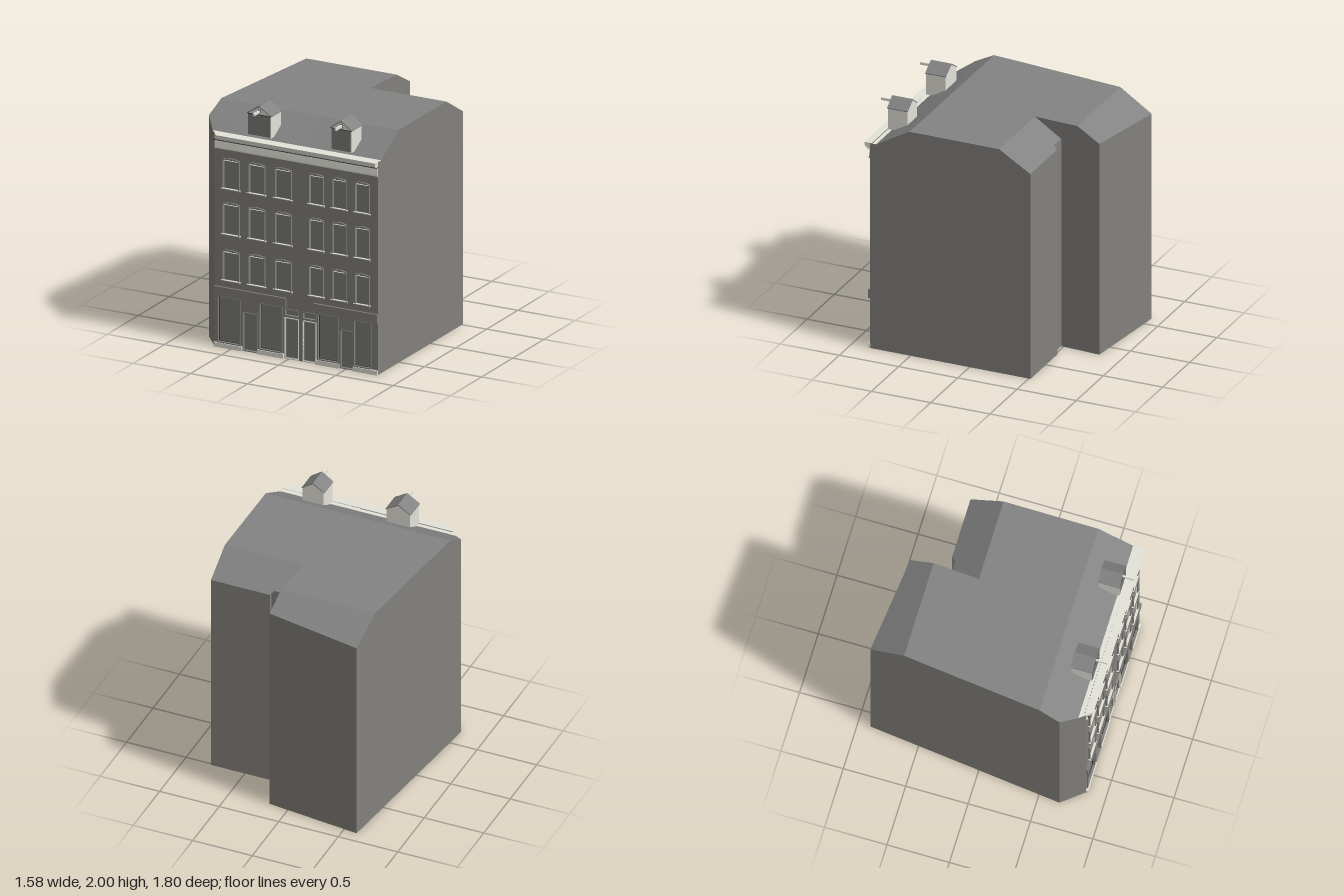
import * as THREE from 'three';

const mat = (name, color, side = THREE.FrontSide) => {
  const m = new THREE.MeshStandardMaterial({ color, side });
  m.name = name;
  return m;
};

export function createModel() {
  const root = new THREE.Group();
  root.name = 'cornerTownhouse';
  const wall = mat('wallGrey', 0x83817d);
  const roof = mat('roofGrey', 0x838383);
  const glass = mat('paneGrey', 0x7d7c79);
  const white = mat('trimWhite', 0xe4e3da);
  const dark = mat('openingDark', 0x3c3c3b);

  const add = (name, geo, m, parent = root) => {
    const mesh = new THREE.Mesh(geo, m);
    mesh.name = name;
    parent.add(mesh);
    return mesh;
  };
  // Box given by its limits
  const box = (name, m, x0, x1, y0, y1, z0, z1, parent = root) => {
    const b = add(name, new THREE.BoxGeometry(x1 - x0, y1 - y0, z1 - z0), m, parent);
    b.position.set((x0 + x1) / 2, (y0 + y1) / 2, (z0 + z1) / 2);
    return b;
  };
  // Flat polygon, fanned from its first corner
  const face = (name, m, ...pts) => {
    const v = [];
    for (let i = 1; i < pts.length - 1; i++) v.push(...pts[0], ...pts[i], ...pts[i + 1]);
    const g = new THREE.BufferGeometry();
    g.setAttribute('position', new THREE.Float32BufferAttribute(v, 3));
    g.computeVertexNormals();
    return add(name, g, m);
  };
  const extrude = (shape, depth) =>
    new THREE.ExtrudeGeometry(shape, { depth, bevelEnabled: false, curveSegments: 6 });
  // Opening outline with an optional shallow arched head
  const outline = (Type, x0, x1, y0, y1, rise = 0) => {
    const s = new Type();
    s.moveTo(x0, y0);
    s.lineTo(x1, y0);
    s.lineTo(x1, y1 - rise);
    if (rise) s.quadraticCurveTo((x0 + x1) / 2, y1 + rise, x0, y1 - rise);
    else s.lineTo(x0, y1);
    s.closePath();
    return s;
  };
  // Ring-shaped frame of width w around an opening
  const frame = (name, m, [x0, x1, y0, y1, rise], w, z0, z1) => {
    const s = outline(THREE.Shape, x0 - w, x1 + w, y0 - w, y1 + w, rise);
    s.holes.push(outline(THREE.Path, x0, x1, y0, y1, rise));
    add(name, extrude(s, z1 - z0), m).position.z = z0;
  };

  // Side and rear walls
  face('rightWall', wall, [0.78, 0, 0.84], [0.785, 0, -0.515], [0.785, 1.73, -0.515],
    [0.785, 1.89, -0.25], [0.78, 1.89, 0.51], [0.78, 1.73, 0.79], [0.78, 1.73, 0.84]);
  face('leftWall', wall, [-0.61, 0, -0.9], [-0.79, 0, 0.67], [-0.79, 1.8, 0.67],
    [-0.771, 1.89, 0.505], [-0.642, 1.89, -0.62], [-0.61, 1.73, -0.9]);
  face('chamferWall', wall, [-0.79, 0, 0.67], [-0.65, 0, 0.84], [-0.65, 1.73, 0.84],
    [-0.691, 1.73, 0.79], [-0.79, 1.8, 0.67]);
  face('rearWingBack', wall, [0.16, 0, -0.81], [-0.61, 0, -0.9], [-0.61, 1.73, -0.9], [0.16, 1.78, -0.81]);
  face('rearWingSide', wall, [0.125, 0, -0.25], [0.16, 0, -0.81], [0.16, 1.78, -0.81],
    [0.148, 1.89, -0.62], [0.125, 1.89, -0.25]);
  face('notchBack', wall, [0.29, 0, -0.48], [0.139, 0, -0.48], [0.139, 1.751, -0.48], [0.29, 1.751, -0.48]);
  face('notchSide', wall, [0.29, 0, -0.515], [0.29, 0, -0.48], [0.29, 1.751, -0.48], [0.29, 1.73, -0.515]);
  face('backWall', wall, [0.785, 0, -0.515], [0.29, 0, -0.515], [0.29, 1.73, -0.515], [0.785, 1.73, -0.515]);
  face('baseLeft', wall, [-0.79, 0, 0.67], [-0.61, 0, -0.9], [0.16, 0, -0.81], [0.125, 0, -0.25],
    [0.11, 0, 0.84], [-0.65, 0, 0.84]);
  face('baseRight', wall, [0.11, 0, 0.84], [0.139, 0, -0.48], [0.29, 0, -0.48], [0.29, 0, -0.515],
    [0.785, 0, -0.515], [0.78, 0, 0.84]);

  // Roof planes
  face('flatRoofLeft', roof, [-0.771, 1.89, 0.505], [0.11, 1.89, 0.505], [0.125, 1.89, -0.25],
    [0.148, 1.89, -0.62], [-0.642, 1.89, -0.62]);
  face('flatRoofRight', roof, [0.11, 1.89, 0.505], [0.78, 1.89, 0.51], [0.785, 1.89, -0.25], [0.125, 1.89, -0.25]);
  face('backSlopeRight', roof, [0.125, 1.89, -0.25], [0.785, 1.89, -0.25], [0.785, 1.73, -0.515],
    [0.29, 1.73, -0.515], [0.29, 1.751, -0.48], [0.139, 1.751, -0.48]);
  face('backSlopeLeft', roof, [-0.642, 1.89, -0.62], [0.148, 1.89, -0.62], [0.16, 1.78, -0.81], [-0.61, 1.73, -0.9]);
  face('frontSlopeRight', roof, [0.11, 1.73, 0.79], [0.78, 1.73, 0.79], [0.78, 1.89, 0.51], [0.11, 1.89, 0.505]);
  face('frontSlopeUpperLeft', roof, [-0.79, 1.8, 0.67], [0.11, 1.89, 0.505], [-0.771, 1.89, 0.505]);
  face('frontSlopeLowerLeft', roof, [-0.79, 1.8, 0.67], [-0.691, 1.73, 0.79], [0.11, 1.73, 0.79], [0.11, 1.89, 0.505]);
  face('eavesLedge', white, [-0.691, 1.73, 0.79], [-0.65, 1.73, 0.84], [0.78, 1.73, 0.84], [0.78, 1.73, 0.79]);

  // Upper windows, shopfronts and doors: x0, x1, y0, y1, arch rise
  const columns = [[-0.57, -0.435], [-0.345, -0.21], [-0.115, 0.02], [0.185, 0.3], [0.388, 0.503], [0.587, 0.702]];
  const rows = [[0.55, 0.795], [0.925, 1.18], [1.295, 1.54]];
  const windows = rows.flatMap(([y0, y1]) => columns.map(([a, b]) => [a, b, y0, y1, 0.012]));
  const shops = [[-0.615, -0.43], [-0.25, -0.065], [0.26, 0.43], [0.575, 0.715]].map(([a, b]) => [a, b, 0.045, 0.405, 0]);
  const shopDoors = [[-0.395, -0.275], [0.455, 0.56]].map(([a, b]) => [a, b, 0.01, 0.31, 0]);
  const houseDoors = [[-0.03, 0.085], [0.13, 0.235]].map(([a, b]) => [a, b, 0.01, 0.33, 0]);
  const transoms = houseDoors.map(([a, b]) => [a, b, 0.355, 0.4, 0]);

  // Front wall with its openings, and the panes behind
  const facade = outline(THREE.Shape, -0.65, 0.78, 0, 1.73);
  for (const o of [...windows, ...shops, ...shopDoors, ...houseDoors, ...transoms])
    facade.holes.push(outline(THREE.Path, ...o));
  add('frontWall', extrude(facade, 0.018), wall).position.z = 0.822;
  add('panes', new THREE.PlaneGeometry(1.41, 1.7), glass).position.set(0.065, 0.86, 0.824);

  for (const o of windows) {
    const [x0, x1, y0, y1] = o;
    frame('windowSurround', wall, o, 0.007, 0.84, 0.853);
    box('windowEdge', white, x1 - 0.005, x1, y0, y1 - 0.012, 0.826, 0.842);
    const head = outline(THREE.Shape, x0, x1, y1 - 0.02, y1, 0.012);
    head.holes.push(outline(THREE.Path, x0 + 0.004, x1 - 0.004, y1 - 0.019, y1 - 0.006, 0.01));
    add('windowHead', extrude(head, 0.012), white).position.z = 0.827;
    box('windowSill', wall, x0 - 0.016, x1 + 0.016, y0 - 0.013, y0, 0.84, 0.86);
    box('sillTop', white, x0 - 0.016, x1 + 0.016, y0 - 0.001, y0 + 0.004, 0.84, 0.858);
  }
  for (const o of shops) {
    frame('shopWindowFrame', wall, o, 0.01, 0.84, 0.848);
    const [x0, x1, y0, y1] = o;
    frame('shopWindowBead', dark, [x0 + 0.004, x1 - 0.004, y0 + 0.004, y1 - 0.004, 0], 0.003, 0.824, 0.83);
  }
  for (const o of shopDoors) frame('shopDoorFrame', wall, o, 0.007, 0.84, 0.848);
  for (const [x0, x1, y0, y1] of houseDoors) {
    frame('houseDoorFrame', white, [x0, x1, y0, y1, 0], 0.006, 0.838, 0.848);
  }
  for (const o of transoms) frame('transomFrame', wall, o, 0.006, 0.84, 0.848);

  // Shop fascias and stone plinths
  for (const [a, b] of [[-0.65, -0.02], [0.225, 0.78]]) box('shopFascia', wall, a, b, 0.42, 0.493, 0.835, 0.857);
  for (const [a, b] of [[-0.65, -0.405], [-0.268, -0.042], [0.243, 0.448], [0.567, 0.78]])
    box('plinth', white, a, b, 0, 0.036, 0.83, 0.855);

  // Eaves cornice, its left end mitred to the chamfered corner
  const profile = [[0.83, 1.612], [0.85, 1.612], [0.85, 1.625], [0.846, 1.682], [0.862, 1.688],
    [0.884, 1.7], [0.89, 1.733], [0.83, 1.733]];
  const cornice = extrude(new THREE.Shape(profile.map(([z, y]) => new THREE.Vector2(-z, y)).reverse()), 1);
  cornice.rotateY(Math.PI / 2);
  const p = cornice.attributes.position;
  for (let i = 0; i < p.count; i++) {
    const left = -0.65 + (p.getZ(i) - 0.84) * 0.82;
    p.setX(i, left + (0.78 - left) * p.getX(i));
  }
  cornice.computeVertexNormals();
  add('cornice', cornice, white);
  box('corniceShadowLine', dark, -0.645, 0.78, 1.683, 1.69, 0.84, 0.864);
  box('architraveFoot', wall, -0.648, 0.78, 1.605, 1.615, 0.835, 0.853);

  // Gabled dormers with hoist beams
  for (const [cx, h] of [[-0.275, 0.1], [0.44, 0.088]]) {
    const d = new THREE.Group();
    d.name = 'dormer';
    d.position.x = cx;
    root.add(d);
    const gable = new THREE.Shape([[-h, 1.75], [h, 1.75], [h, 1.93], [0, 1.99], [-h, 1.93]]
      .map(([x, y]) => new THREE.Vector2(x, y)));
    add('dormerBody', extrude(gable, 0.166), white, d).position.z = 0.64;
    box('dormerWindow', glass, -h + 0.004, h - 0.004, 1.757, 1.926, 0.804, 0.809, d);
    box('dormerLintel', dark, -h - 0.004, h + 0.004, 1.926, 1.931, 0.8, 0.81, d);
    const e = h + 0.006;
    const cap = new THREE.Shape([[-e, 1.926], [0, 1.99], [e, 1.926], [e, 1.933], [0, 2], [-e, 1.933]]
      .map(([x, y]) => new THREE.Vector2(x, y)));
    add('dormerRoof', extrude(cap, 0.173), roof, d).position.z = 0.637;
    box('hoistHatch', dark, -0.01, 0.01, 1.94, 1.97, 0.804, 0.808, d);
    box('hoistBeam', white, -0.007, 0.007, 1.945, 1.965, 0.8, 0.9, d);
  }
  return root;
}
